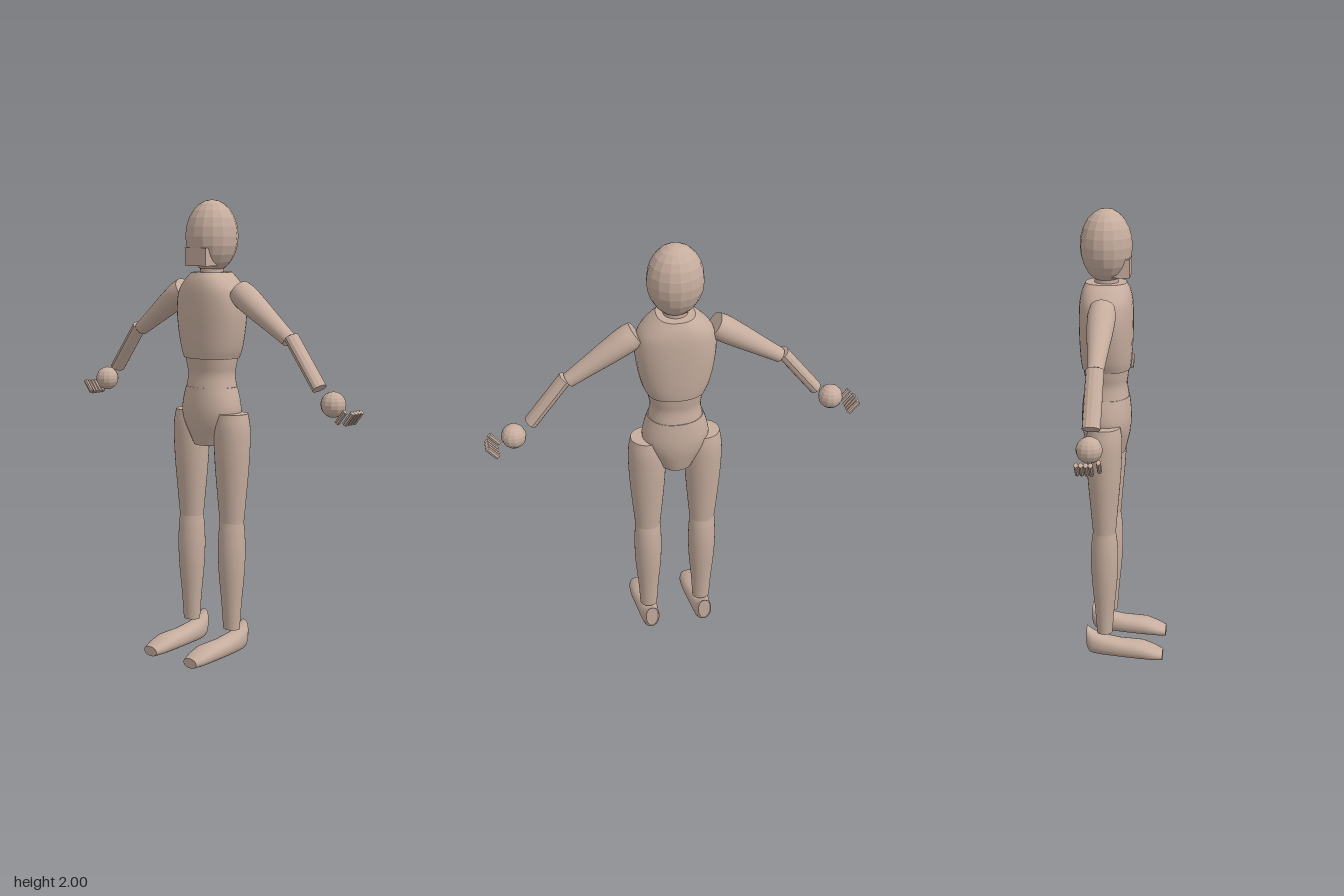
import * as THREE from 'three';

const wood = new THREE.MeshStandardMaterial({ color: 0xc6ad9e });
wood.name = 'pale wood';
const Z = -0.07; // depth of the body's centre line

// Capped loft along y; each ring is [y, half width, half depth, centre z].
// Power 1 gives ellipses, lower values give boxier sections.
function loft(rings, power = 1, sides = 32) {
  const pos = [], idx = [];
  const bend = (v) => Math.sign(v) * Math.abs(v) ** power;
  const addRing = ([y, rx, rz, cz = 0]) => {
    for (let j = 0; j < sides; j++) {
      const a = (j / sides) * Math.PI * 2;
      pos.push(bend(Math.cos(a)) * rx, y, cz + bend(Math.sin(a)) * rz);
    }
  };
  rings.forEach(addRing);
  for (let i = 0; i < rings.length - 1; i++) {
    for (let j = 0; j < sides; j++) {
      const a = i * sides + j, b = i * sides + ((j + 1) % sides);
      idx.push(a, a + sides, b, b, a + sides, b + sides);
    }
  }
  // End caps have their own vertices, so their edges stay sharp
  [rings[0], rings[rings.length - 1]].forEach((ring, top) => {
    const start = pos.length / 3, centre = start + sides;
    addRing(ring);
    pos.push(0, ring[0], ring[3] ?? 0);
    for (let j = 0; j < sides; j++) {
      const a = start + j, b = start + ((j + 1) % sides);
      if (top) idx.push(centre, b, a);
      else idx.push(centre, a, b);
    }
  });
  const g = new THREE.BufferGeometry();
  g.setAttribute('position', new THREE.Float32BufferAttribute(pos, 3));
  g.setIndex(idx);
  g.computeVertexNormals();
  return g;
}

function flat(geometry) {
  const g = geometry.index ? geometry.toNonIndexed() : geometry;
  g.computeVertexNormals();
  return g;
}

// Smooth rings through a few control rings
function smooth(rings, steps = 16) {
  const n = rings.length - 1;
  const curve = (k) => new THREE.CatmullRomCurve3(
    rings.map((r) => new THREE.Vector3(r[0], r[k], r[k + 1] ?? 0)), false, 'centripetal');
  const c = curve(1);
  return Array.from({ length: steps * n + 1 }, (_, i) => c.getPoint(i / (steps * n)).toArray());
}

export function createModel() {
  const model = new THREE.Group();
  model.name = 'jointedFigure';

  const add = (name, geometry, x = 0, y = 0, z = Z) => {
    const mesh = new THREE.Mesh(geometry, wood);
    mesh.name = name;
    mesh.position.set(x, y, z);
    model.add(mesh);
    return mesh;
  };
  // Places a loft running from 0 up its y axis onto the line a to b
  const aim = (mesh, a, b) => {
    const dir = new THREE.Vector3(b[0] - a[0], b[1] - a[1], 0).normalize();
    mesh.quaternion.setFromUnitVectors(new THREE.Vector3(0, 1, 0), dir);
  };

  // Head, jaw and neck
  const skull = new THREE.SphereGeometry(1, 16, 12);
  skull.scale(0.118, 0.156, 0.111);
  add('head', flat(skull), 0, 1.844);
  add('jaw', new THREE.BoxGeometry(0.124, 0.078, 0.095), 0, 1.757, -0.014);
  add('neck', new THREE.CylinderGeometry(0.05, 0.052, 0.07, 24), 0, 1.695);

  // Trunk
  add('chest', loft(smooth([
    [1.32, 0.125, 0.104], [1.36, 0.142, 0.109], [1.45, 0.162, 0.114], [1.54, 0.17, 0.115],
    [1.61, 0.157, 0.112], [1.655, 0.122, 0.103], [1.69, 0.08, 0.088],
  ], 4), 0.85));
  add('waist', loft(smooth([
    [1.19, 0.116, 0.098], [1.25, 0.108, 0.09], [1.29, 0.115, 0.095], [1.325, 0.121, 0.1],
  ], 4), 0.9));
  add('pelvis', loft(smooth([
    [0.94, 0.073, 0.08], [0.985, 0.098, 0.092], [1.04, 0.13, 0.104],
    [1.09, 0.144, 0.108], [1.14, 0.137, 0.106], [1.195, 0.12, 0.1],
  ], 4), 0.95));

  // Limb shapes shared by both sides
  const thigh = loft(smooth([
    [0.605, 0.056, 0.05], [0.72, 0.067, 0.06], [0.86, 0.078, 0.072],
    [0.96, 0.082, 0.077], [1.03, 0.08, 0.077], [1.085, 0.07, 0.069],
  ], 4));
  const shin = loft(smooth([
    [0.125, 0.039, 0.034], [0.24, 0.046, 0.043], [0.38, 0.058, 0.056],
    [0.48, 0.061, 0.06], [0.56, 0.059, 0.056], [0.605, 0.056, 0.05],
  ], 4));
  // Foot sections run heel to toe; the centre is minus the height
  const foot = loft([
    [-0.15, 0.028, 0.052, -0.1], [-0.138, 0.036, 0.057, -0.083], [-0.12, 0.04, 0.054, -0.073],
    [-0.08, 0.043, 0.047, -0.061], [0, 0.049, 0.041, -0.05], [0.06, 0.055, 0.04, -0.046],
    [0.1, 0.057, 0.039, -0.043], [0.15, 0.053, 0.03, -0.032], [0.19, 0.039, 0.021, -0.022],
  ], 0.9);
  foot.rotateX(Math.PI / 2);
  const upperArm = loft(smooth([
    [0, 0.052, 0.052], [0.04, 0.056, 0.058], [0.11, 0.052, 0.056],
    [0.24, 0.04, 0.043], [0.343, 0.031, 0.034],
  ], 4));
  const forearm = flat(loft([[0, 0.028, 0.037], [0.253, 0.028, 0.037]], 1, 12));
  const ball = flat(new THREE.SphereGeometry(0.053, 12, 10));
  const finger = flat(loft([[0, 0.012, 0.0095], [0.064, 0.012, 0.0095]], 1, 8));

  for (const [side, s] of [['left', 1], ['right', -1]]) {
    // Leg
    add(side + 'Thigh', thigh, s * 0.124);
    add(side + 'Shin', shin, s * 0.124);
    add(side + 'Foot', foot, s * 0.124, 0, 0);

    // Arm
    const segment = (name, geometry, a, b, z = Z) =>
      aim(add(side + name, geometry, s * a[0], a[1], z), [s * a[0], a[1]], [s * b[0], b[1]]);
    segment('UpperArm', upperArm, [0.164, 1.613], [0.45, 1.421]);
    segment('Forearm', forearm, [0.46, 1.434], [0.614, 1.234]);
    add(side + 'HandBall', ball, s * 0.688, 1.175);

    // Fingers and thumb
    for (let i = 0; i < 4; i++) {
      segment('Finger' + (i + 1), finger, [0.763, 1.103], [0.802, 1.15], -0.052 - i * 0.0185);
    }
    segment('Thumb', finger, [0.747, 1.11], [0.786, 1.157], -0.023);
  }
  return model;
}
